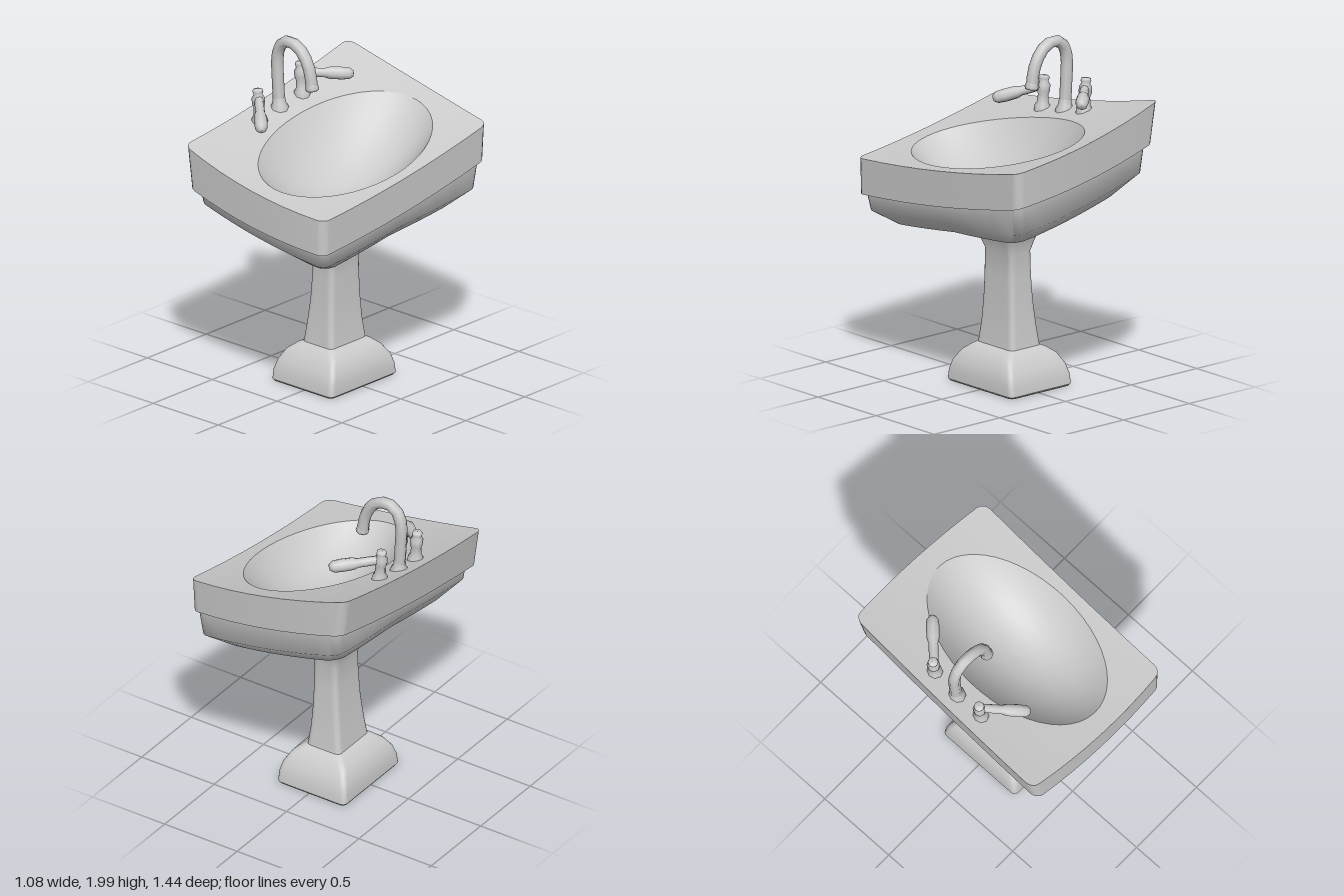
import * as THREE from 'three';

const material = new THREE.MeshStandardMaterial({ color: 0xcccccc });

// Height of the tilted, slightly dished deck
const deckY = (x, z) => 1.44 - 0.198 * x - 0.164 * z + 0.03 * (x / 0.53) ** 2 + 0.03 * (z / 0.7) ** 2 + 0.03 * x * z;

// Rounded rectangle as a loop of [x, z], always the same point count
function outline(x0, x1, z0, z1, r, bulge = 0) {
  const arcs = [[x1 - r, z1 - r], [x0 + r, z1 - r], [x0 + r, z0 + r], [x1 - r, z0 + r]].map(([cx, cz], k) =>
    Array.from({ length: 5 }, (_, i) => {
      const t = (k + i / 4) * Math.PI / 2;
      return [cx + r * Math.cos(t), cz + r * Math.sin(t)];
    }));
  const pts = [];
  arcs.forEach((arc, k) => {
    pts.push(...arc);
    const a = arc[4], b = arcs[(k + 1) % 4][0];
    for (let i = 1; i < 8; i++) pts.push([a[0] + (b[0] - a[0]) * i / 8, a[1] + (b[1] - a[1]) * i / 8]);
  });
  return pts.map(([x, z]) => [x, z + Math.sign(z) * bulge * (1 - (x / 0.54) ** 2)]);
}

// Skin through closed loops of [x, y, z]
function loft(name, loops) {
  const n = loops[0].length, index = [];
  for (let i = 0; i < loops.length - 1; i++) {
    for (let j = 0; j < n; j++) {
      const a = i * n + j, b = i * n + (j + 1) % n;
      index.push(a, b, a + n, b, b + n, a + n);
    }
  }
  const geo = new THREE.BufferGeometry();
  geo.setAttribute('position', new THREE.Float32BufferAttribute(loops.flat(2), 3));
  geo.setIndex(index);
  geo.computeVertexNormals();
  return named(name, geo);
}

function named(name, geo) {
  const mesh = new THREE.Mesh(geo, material);
  mesh.name = name;
  return mesh;
}

// Turned part standing along the line from a to b; profile is [radius, distance]
function turned(name, profile, a, b) {
  const mesh = named(name, new THREE.LatheGeometry(profile.map(p => new THREE.Vector2(...p)), 8));
  mesh.position.copy(a);
  mesh.quaternion.setFromUnitVectors(new THREE.Vector3(0, 1, 0), b.clone().sub(a).normalize());
  return mesh;
}

function createBasin() {
  const basin = new THREE.Group();
  basin.name = 'basin';
  // Places a loop below the deck; xFall and backFall add depth toward -x and the back
  const drop = (pts, d, xFall = 0, backFall = 0) => pts.map(([x, z]) =>
    [x, deckY(x, z) - d + xFall * x + backFall * Math.min(z, 0), z]);
  const rimOuter = outline(-0.54, 0.535, -0.695, 0.69, 0.05, 0.03);
  const ellipse = s => rimOuter.map((_, j) => {
    const t = Math.PI / 4 + (j - 2) / rimOuter.length * 2 * Math.PI;
    return [0.072 + 0.392 * s * Math.cos(t), 0.603 * s * Math.sin(t)];
  });

  // Oval bowl
  const radii = [0, 0.15, 0.3, 0.45, 0.6, 0.72, 0.82, 0.9, 0.96, 1];
  basin.add(loft('bowl', radii.map(s => drop(ellipse(s), 0.26 * (1 - s ** 2.2)))));

  // Deck from bowl rim to outer edge
  const rim = ellipse(1);
  basin.add(loft('deck', [0, 0.33, 0.67, 1].map(t =>
    drop(rim.map(([x, z], i) => [x + (rimOuter[i][0] - x) * t, z + (rimOuter[i][1] - z) * t]), 0))));

  // Apron wall and its lower lip
  const wallFoot = drop(outline(-0.505, 0.53, -0.685, 0.69, 0.05, 0.025), 0.225, 0.02);
  const underTop = drop(outline(-0.468, 0.51, -0.67, 0.66, 0.05, 0.015), 0.225, 0.02);
  basin.add(loft('apron', [drop(rimOuter, 0), wallFoot]));
  basin.add(loft('apronLip', [wallFoot, underTop]));

  // Rounded underside
  const under = [[0.97, 0.315, 0.05], [0.8, 0.4, 0.08], [0.65, 0.427, 0.09], [0.45, 0.452, 0.09], [0.22, 0.475, 0.06], [0, 0.488, 0]];
  basin.add(loft('underside', [underTop, ...under.map(([s, d, r]) =>
    drop(outline(-0.475 * s, 0.51 * s, -0.67 * s, 0.665 * s, r, 0.01 * s), d, 0, 0.1))]));
  return basin;
}

function createPedestal() {
  const pedestal = new THREE.Group();
  pedestal.name = 'pedestal';
  // Each section: y, x from, x to, half depth, corner radius
  const sections = rows => rows.map(([y, x0, x1, z, r]) => outline(x0, x1, -z, z, r).map(p => [p[0], y, p[1]]));
  pedestal.add(loft('column', sections([
    [1.04, -0.16, 0.15, 0.19, 0.03], [0.96, -0.14, 0.135, 0.172, 0.03], [0.89, -0.108, 0.115, 0.146, 0.03],
    [0.8, -0.082, 0.08, 0.122, 0.03], [0.65, -0.086, 0.08, 0.124, 0.03],
    [0.5, -0.095, 0.083, 0.13, 0.03], [0.36, -0.11, 0.09, 0.14, 0.03], [0.235, -0.125, 0.103, 0.154, 0.03]])));
  pedestal.add(loft('foot', sections([
    [0.24, -0.122, 0.1, 0.152, 0.03], [0.225, -0.155, 0.13, 0.175, 0.03], [0.19, -0.2, 0.172, 0.215, 0.03],
    [0.13, -0.232, 0.205, 0.255, 0.03], [0.07, -0.247, 0.218, 0.275, 0.03], [0.012, -0.25, 0.22, 0.282, 0.03]])));
  pedestal.add(loft('footBottom', sections([
    [0.012, -0.25, 0.22, 0.282, 0.03], [0, -0.242, 0.21, 0.274, 0.03], [0, -0.015, -0.015, 0, 0]])));
  return pedestal;
}

function createFaucet() {
  const faucet = new THREE.Group();
  faucet.name = 'faucet';
  const V = (x, y, z) => new THREE.Vector3(x, y, z);

  // Gooseneck spout with flared foot and tip
  const path = new THREE.CatmullRomCurve3([[-0.435, 1.53], [-0.447, 1.7], [-0.45, 1.86], [-0.42, 1.935], [-0.36, 1.965],
    [-0.28, 1.94], [-0.222, 1.87], [-0.195, 1.79], [-0.187, 1.725]].map(([x, y]) => V(x, y, 0)));
  faucet.add(named('spout', new THREE.TubeGeometry(path, 14, 0.035, 8)));
  faucet.add(turned('spoutFoot', [[0.055, -0.02], [0.054, 0.015], [0.04, 0.04], [0.034, 0.08]], V(-0.435, 1.53, 0), V(-0.447, 1.7, 0)));
  faucet.add(turned('spoutTip', [[0, 0], [0.036, 0], [0.04, 0.012], [0.034, 0.04]], V(-0.182, 1.71, 0), V(-0.195, 1.79, 0)));

  // Two taps with paddle levers
  const post = [[0.048, -0.02], [0.046, 0.015], [0.034, 0.035], [0.03, 0.08], [0.038, 0.105],
    [0.038, 0.14], [0.025, 0.16], [0.031, 0.175], [0.028, 0.19], [0, 0.193]];
  const lever = [[0.026, 0], [0.028, 0.09], [0.028, 0.13], [0.037, 0.16], [0.039, 0.23], [0.035, 0.275], [0.019, 0.297], [0, 0.3]];
  for (const [side, rise, fall] of [[1, 0.135, 0.085], [-1, 0.13, 0.015]]) {
    const tap = new THREE.Group();
    tap.name = side > 0 ? 'frontTap' : 'rearTap';
    const base = V(-0.425, deckY(-0.425, side * 0.18), side * 0.18);
    const hub = base.clone().add(V(-0.005, rise, 0));
    tap.add(turned('tapPost', post, base, base.clone().add(V(-0.015, 0.19, 0))));
    tap.add(turned('tapLever', lever, hub, hub.clone().add(V(0.2, -fall, side * 0.2))));
    faucet.add(tap);
  }
  return faucet;
}

export function createModel() {
  const model = new THREE.Group();
  model.name = 'pedestalSink';
  model.add(createBasin(), createPedestal(), createFaucet());
  return model;
}
